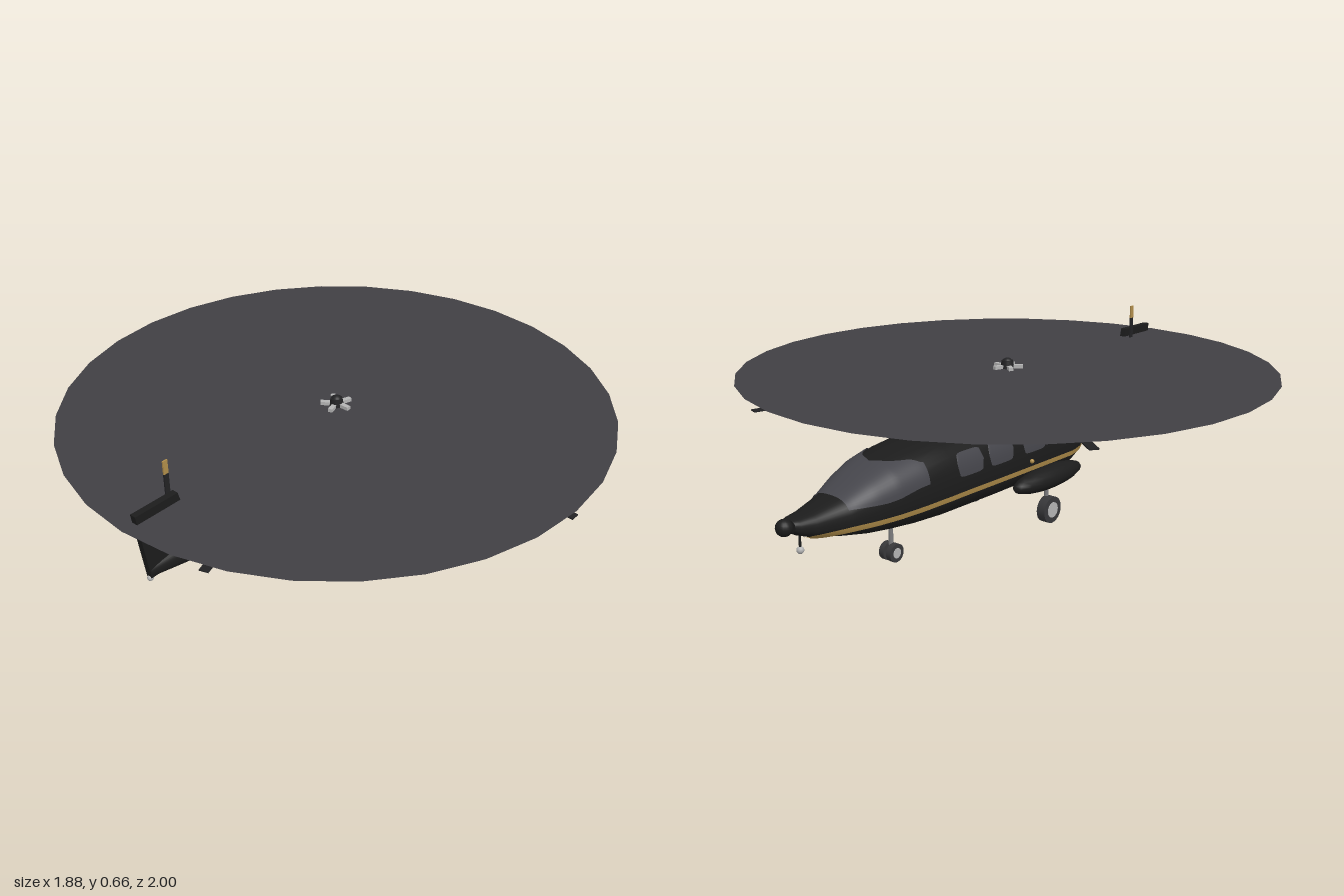
import * as THREE from 'three';

const mat = (name, color, side = THREE.FrontSide) => {
  const m = new THREE.MeshStandardMaterial({ color, side });
  m.name = name;
  return m;
};

// Superellipse ring point for a section { yb, yt, w }
const ringPoint = (s, t, n, grow = 0) => {
  const c = Math.cos(t), k = Math.sin(t), e = 2 / n;
  return [
    (s.w + grow) * Math.sign(c) * Math.abs(c) ** e,
    (s.yb + s.yt) / 2 + ((s.yt - s.yb) / 2 + grow) * Math.sign(k) * Math.abs(k) ** e,
    s.z,
  ];
};

const buildGeometry = (pos, idx) => {
  const g = new THREE.BufferGeometry();
  g.setAttribute('position', new THREE.Float32BufferAttribute(pos, 3));
  g.setIndex(idx);
  g.computeVertexNormals();
  return g;
};

// Closed loft through sections ordered by increasing z, with flat end caps
function loft(sections, n = 2.6, seg = 32) {
  const pos = [], idx = [], row = seg + 1;
  const addRing = (s) => {
    for (let j = 0; j <= seg; j++) pos.push(...ringPoint(s, ((j % seg) / seg) * Math.PI * 2, n));
  };
  sections.forEach(addRing);
  for (let i = 0; i < sections.length - 1; i++)
    for (let j = 0; j < seg; j++) {
      const a = i * row + j, c = a + row;
      idx.push(a, a + 1, c, a + 1, c + 1, c);
    }
  [sections[0], sections[sections.length - 1]].forEach((s, end) => {
    const base = pos.length / 3;
    addRing(s);
    pos.push(0, (s.yb + s.yt) / 2, s.z);
    for (let j = 0; j < seg; j++)
      idx.push(base + row, base + j + (end ? 0 : 1), base + j + (end ? 1 : 0));
  });
  return buildGeometry(pos, idx);
}

const sections = (rows) => rows.map(([z, yb, yt, w]) => ({ z, yb, yt, w }));

const BODY = sections([
  [-0.955, 0.222, 0.26, 0.03], [-0.94, 0.21, 0.263, 0.042], [-0.89, 0.19, 0.268, 0.056],
  [-0.78, 0.165, 0.292, 0.088], [-0.7, 0.15, 0.33, 0.115], [-0.62, 0.141, 0.36, 0.135],
  [-0.52, 0.132, 0.381, 0.148], [-0.4, 0.126, 0.394, 0.155], [-0.15, 0.125, 0.396, 0.157],
  [0.25, 0.127, 0.395, 0.156], [0.33, 0.15, 0.39, 0.135], [0.39, 0.19, 0.385, 0.105],
]);
const BODY_N = 2.6;

// Body section at any z
function bodyAt(z) {
  let i = 0;
  while (i < BODY.length - 2 && BODY[i + 1].z < z) i++;
  const a = BODY[i], b = BODY[i + 1], f = (z - a.z) / (b.z - a.z);
  const mix = (k) => a[k] + (b[k] - a[k]) * f;
  return { z, yb: mix('yb'), yt: mix('yt'), w: mix('w') };
}

// Thin skin on the body between heights lo(z) and hi(z)
function skin(z0, z1, lo, hi, side, nu = 16, nv = 8) {
  const pos = [], idx = [];
  for (let i = 0; i <= nu; i++) {
    const z = z0 + ((z1 - z0) * i) / nu, s = bodyAt(z);
    const angle = (y) => {
      const k = THREE.MathUtils.clamp((2 * y - s.yb - s.yt) / (s.yt - s.yb), -1, 1);
      return Math.sign(k) * Math.asin(Math.abs(k) ** (BODY_N / 2));
    };
    const a = angle(lo(z)), b = angle(hi(z));
    for (let j = 0; j <= nv; j++) {
      const p = ringPoint(s, a + ((b - a) * j) / nv, BODY_N, 0.004);
      pos.push(p[0] * side, p[1], p[2]);
      if (i < nu && j < nv) {
        const q = i * (nv + 1) + j, r = q + nv + 1;
        if (side > 0) idx.push(q, q + 1, r, q + 1, r + 1, r);
        else idx.push(q, r, q + 1, q + 1, r, r + 1);
      }
    }
  }
  return buildGeometry(pos, idx);
}

export function createModel() {
  const model = new THREE.Group();
  model.name = 'helicopter';
  const black = mat('black paint', 0x1c1c1c);
  const glass = mat('tinted glass', 0x45454b, THREE.DoubleSide);
  const gold = mat('gold trim', 0xb08d4a, THREE.DoubleSide);
  const disc = mat('rotor blur', 0x403f44, THREE.DoubleSide);
  const dark = mat('dark rotor', 0x222224);
  const rubber = mat('tyre rubber', 0x38383a);
  const metal = mat('light metal', 0xb4b4b4);
  const grey = mat('grey metal', 0x7c7c7e);

  const add = (name, geo, material, x = 0, y = 0, z = 0, parent = model) => {
    const m = new THREE.Mesh(geo, material);
    m.name = name;
    m.position.set(x, y, z);
    parent.add(m);
    return m;
  };
  const ball = (r) => new THREE.SphereGeometry(r, 16, 12);
  const axle = (r, w) => new THREE.CylinderGeometry(r, r, w, 24).rotateZ(Math.PI / 2);
  const post = (r, h) => new THREE.CylinderGeometry(r, r, h, 12);

  // Fuselage, engine cowling and tail boom
  add('fuselage', loft(BODY, BODY_N), black);
  add('engineCowling', loft(sections([
    [-0.16, 0.36, 0.396, 0.08], [-0.08, 0.34, 0.452, 0.108], [-0.02, 0.34, 0.463, 0.118],
    [0.2, 0.34, 0.467, 0.121], [0.41, 0.345, 0.457, 0.12], [0.47, 0.36, 0.44, 0.11],
  ]), 3.2), black);
  add('tailBoom', loft(sections([
    [0.36, 0.235, 0.385, 0.1], [0.55, 0.266, 0.385, 0.07],
    [0.74, 0.295, 0.385, 0.04], [0.92, 0.32, 0.36, 0.012],
  ]), 2.2), black);
  add('noseSensor', ball(0.027), black, 0, 0.24, -0.972);
  add('noseProbe', ball(0.012), metal, 0, 0.153, -0.915);
  add('noseProbeStem', post(0.004, 0.05), black, 0, 0.18, -0.915);
  add('tailLight', ball(0.01), metal, 0, 0.315, 0.917);
  add('beacon', ball(0.009), gold, 0, 0.469, 0.22);

  // Fin and stabilizer
  const finShape = new THREE.Shape([[0.955, 0.567], [0.79, 0.567], [0.74, 0.38], [0.74, 0.33], [0.92, 0.32]]
    .map(([z, y]) => new THREE.Vector2(z, y)));
  add('tailFin', new THREE.ExtrudeGeometry(finShape, { depth: 0.022, bevelEnabled: false })
    .rotateY(-Math.PI / 2), black, 0.011);
  add('stabilizer', new THREE.BoxGeometry(0.42, 0.01, 0.11), black, 0, 0.37, 0.67);

  for (const side of [1, -1]) {
    // Rounded cabin windows, cockpit glazing and stripe
    for (const zc of [0.18, 0.018, -0.16, -0.315]) {
      const bulge = (z) => 0.038 * Math.max(0, 1 - Math.abs((z - zc) / 0.063) ** 5) ** 0.2;
      add('cabinWindow', skin(zc - 0.063, zc + 0.063, (z) => 0.311 - bulge(z), (z) => 0.311 + bulge(z), side), glass);
    }
    add('cockpitGlass', skin(-0.79, -0.505,
      (z) => 0.26 + 0.025 * THREE.MathUtils.smoothstep(z, -0.68, -0.5),
      (z) => 0.361 - 0.012 * THREE.MathUtils.smoothstep(z, -0.54, -0.505), side, 24, 12), glass);
    const stripeY = (z) => 0.214 - 0.014 * THREE.MathUtils.smoothstep(-z, 0.3, 0.9);
    add('goldStripe', skin(-0.91, 0.39, (z) => stripeY(z) - 0.009, (z) => stripeY(z) + 0.009, side, 52, 2), gold);
    add('sideLight', ball(0.008), gold, side * 0.16, 0.24, 0);

    // Engine exhausts
    add('exhaust', new THREE.CylinderGeometry(0.03, 0.03, 0.08, 20).rotateX(Math.PI / 2), black, side * 0.08, 0.405, 0.485);
    add('exhaustOutlet', new THREE.CircleGeometry(0.022, 20), glass, side * 0.08, 0.405, 0.527);

    // Wheel pods and main gear
    add('wheelPod', ball(1).scale(0.046, 0.041, 0.19), black, side * 0.165, 0.163, 0.085);
    add('mainStrut', post(0.008, 0.1), grey, side * 0.165, 0.1, 0.077);
    add('mainTyre', axle(0.048, 0.034), rubber, side * 0.177, 0.048, 0.077);
    add('mainHub', axle(0.028, 0.038), metal, side * 0.177, 0.048, 0.077);

    // Twin nose wheels
    add('noseTyre', axle(0.031, 0.02), rubber, side * 0.016, 0.031, -0.535);
    add('noseHub', axle(0.017, 0.023), metal, side * 0.016, 0.031, -0.535);
  }
  add('noseStrut', post(0.008, 0.12), grey, 0, 0.09, -0.535);

  // Main rotor: blur disc, drooping blades, hub
  const rotor = new THREE.Group();
  rotor.name = 'mainRotor';
  rotor.position.set(0, 0.537, 0.06);
  model.add(rotor);
  add('rotorDisc', new THREE.CircleGeometry(0.94, 32).rotateX(-Math.PI / 2), disc, 0, 0, 0, rotor);
  add('rotorMast', post(0.016, 0.09), metal, 0, -0.05, 0, rotor);
  add('rotorHub', new THREE.CylinderGeometry(0.02, 0.028, 0.045, 16), dark, 0, 0.005, 0, rotor);
  add('hubCap', ball(0.019), dark, 0, 0.018, 0, rotor);
  for (let i = 0; i < 5; i++) {
    const arm = new THREE.Group();
    arm.name = 'rotorArm';
    arm.rotation.y = (i * Math.PI * 2) / 5;
    rotor.add(arm);
    add('bladeGrip', new THREE.BoxGeometry(0.045, 0.02, 0.016), metal, 0.032, 0.002, 0, arm);
    const blade = add('rotorBlade', new THREE.BoxGeometry(0.89, 0.004, 0.03), dark, 0.494, -0.013, 0, arm);
    blade.rotation.z = -0.02;
  }

  // Tail rotor on the right of the fin
  const tail = new THREE.Group();
  tail.name = 'tailRotor';
  tail.position.set(-0.035, 0.5, 0.79);
  model.add(tail);
  add('tailRotorHub', axle(0.014, 0.04), metal, 0.008, 0, 0, tail);
  for (let i = 0; i < 4; i++) {
    const arm = new THREE.Group();
    arm.name = 'tailRotorArm';
    arm.rotation.x = (i * Math.PI) / 2;
    tail.add(arm);
    add('tailBlade', new THREE.BoxGeometry(0.005, 0.115, 0.018), dark, 0, 0.0575, 0, arm);
    add('tailBladeTip', new THREE.BoxGeometry(0.005, 0.047, 0.018), gold, 0, 0.1385, 0, arm);
  }
  return model;
}
